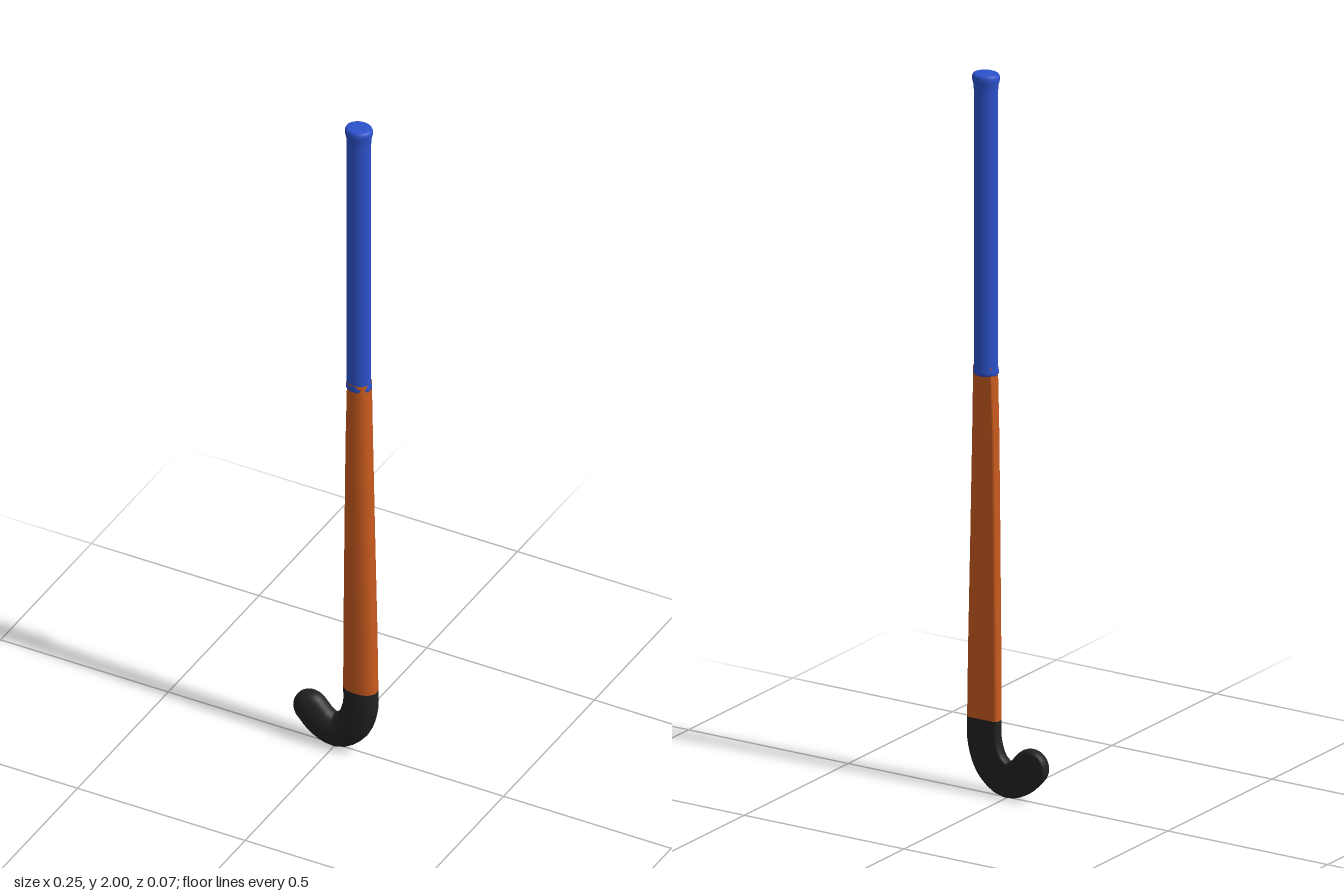
import * as THREE from 'three';

const material = (name, color) => new THREE.MeshStandardMaterial({ name, color, side: THREE.DoubleSide });

// D-shaped cross-section: rounded front (+w), flat back (-w) with softened corners
function dProfile() {
  const points = [];
  const steps = 16;
  for (let i = 0; i <= steps; i++) {
    const t = (i / steps) * Math.PI;
    const c = Math.cos(t);
    points.push([Math.sign(c) * Math.abs(c) ** 0.88, Math.max(0, Math.sin(t)) ** 0.88]);
  }
  const back = [[0.99, -0.5], [0.95, -0.82], [0.88, -0.97], [0.8, -1]];
  back.forEach(([u, w]) => points.push([-u, w]));
  points.push([0, -1]);
  back.reverse().forEach(([u, w]) => points.push([u, w]));
  return points;
}

// Skin a run of cross-sections; fold swings both halves forward to close a round end
function loft(sections) {
  const profile = dProfile();
  const n = profile.length;
  const positions = [];
  const index = [];
  sections.forEach(({ x, y, dx = 0, dy = -1, half, front, back, fold = 0 }, i) => {
    const across = half * Math.cos(fold);
    const ahead = half * Math.sin(fold);
    profile.forEach(([u, w], j) => {
      positions.push(
        x - dy * u * across + dx * Math.abs(u) * ahead,
        y + dx * u * across + dy * Math.abs(u) * ahead,
        w > 0 ? w * front : w * back
      );
      if (i === sections.length - 1) return;
      const a = i * n + j;
      const b = i * n + ((j + 1) % n);
      index.push(a, b, a + n, b, b + n, a + n);
    });
  });
  const geometry = new THREE.BufferGeometry();
  geometry.setAttribute('position', new THREE.Float32BufferAttribute(positions, 3));
  geometry.setIndex(index);
  geometry.computeVertexNormals();
  return geometry;
}

function add(group, name, geometry, mat) {
  const mesh = new THREE.Mesh(geometry, mat);
  mesh.name = name;
  group.add(mesh);
  return mesh;
}

export function createModel() {
  const group = new THREE.Group();
  group.name = 'hockeyStick';
  const blue = material('blue grip', 0x2c52cc);
  const wood = material('orange wood', 0xc85a1e);
  const black = material('black head', 0x222222);

  // Oval grip with a slightly flared top and a rolled lower edge
  const gripProfile = [
    [0, 1.166], [0.031, 1.166], [0.035, 1.17], [0.035, 1.178], [0.033, 1.19],
    [0.033, 1.95], [0.035, 1.972], [0.038, 1.982], [0.038, 1.992], [0.035, 1.998], [0.03, 2], [0, 2],
  ].map(([r, y]) => new THREE.Vector2(r, y));
  const grip = add(group, 'grip', new THREE.LatheGeometry(gripProfile, 32), blue);
  grip.position.set(0.067, 0, -0.003);
  grip.scale.z = 0.87;

  // Shaft, widening from the grip down to the head
  const shaft = [
    [1.19, 0.068, 0.031, 0.026, 0.022],
    [1.0, 0.069, 0.036, 0.029, 0.017],
    [0.7, 0.071, 0.041, 0.032, 0.016],
    [0.4, 0.073, 0.046, 0.033, 0.016],
    [0.21, 0.074, 0.048, 0.033, 0.016],
  ].map(([y, x, half, front, back]) => ({ x, y, half, front, back }));
  add(group, 'shaft', loft(shaft), wood);

  // Hooked head following a J-shaped path
  const path = new THREE.CatmullRomCurve3([
    [0.074, 0.21], [0.073, 0.15], [0.05, 0.086], [0.003, 0.053], [-0.04, 0.067], [-0.073, 0.1],
  ].map(([x, y]) => new THREE.Vector3(x, y, 0)));
  const head = [];
  const steps = 18;
  for (let i = 0; i <= steps; i++) {
    const p = path.getPoint(i / steps);
    const d = i === 0 ? new THREE.Vector3(0, -1, 0) : path.getTangent(i / steps);
    head.push({ x: p.x, y: p.y, dx: d.x, dy: d.y, half: 0.048 + 0.002 * (i / steps), front: 0.033, back: 0.016 });
  }

  // Rounded toe
  const end = head[steps];
  for (let i = 1; i <= 10; i++) head.push({ ...end, fold: (i / 10) * Math.PI / 2 });
  add(group, 'head', loft(head), black);

  return group;
}
